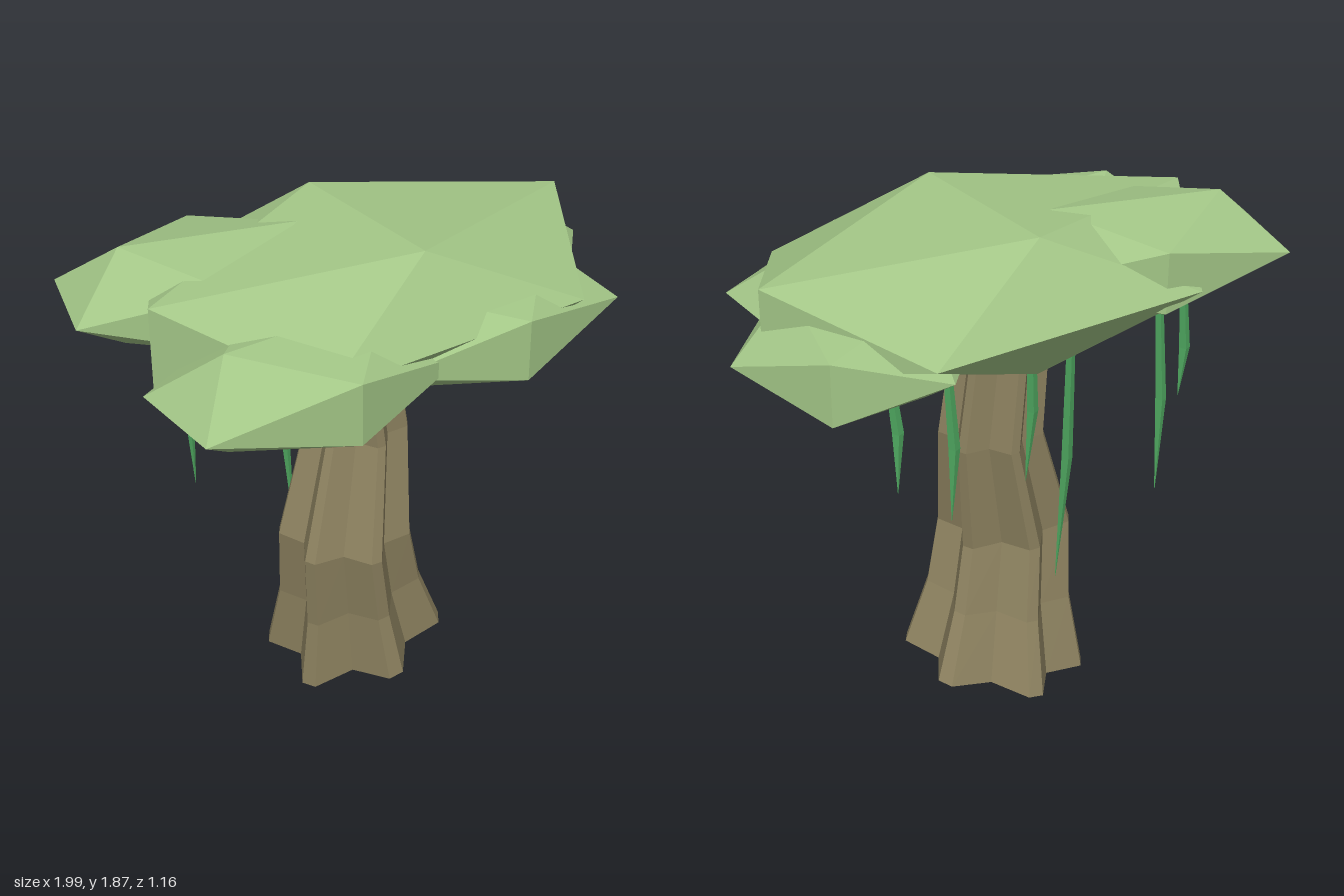
import * as THREE from 'three';

const material = (color) => new THREE.MeshStandardMaterial({ color, flatShading: true });

// Joins cross-sections listed from bottom to top, closing both ends.
function loft(rings) {
  const pos = [];
  const tri = (...pts) => pts.forEach((p) => pos.push(p.x, p.y, p.z));
  const middle = (ring) =>
    ring.reduce((s, p) => s.add(p), new THREE.Vector3()).divideScalar(ring.length);
  const n = rings[0].length;
  const top = rings[rings.length - 1];
  const c0 = middle(rings[0]);
  const c1 = middle(top);
  for (let i = 0; i < n; i++) {
    const j = (i + 1) % n;
    for (let k = 0; k < rings.length - 1; k++) {
      const lo = rings[k];
      const hi = rings[k + 1];
      tri(lo[i], hi[i], lo[j]);
      tri(lo[j], hi[i], hi[j]);
    }
    tri(c0, rings[0][i], rings[0][j]);
    tri(c1, top[j], top[i]);
  }
  const geometry = new THREE.BufferGeometry();
  geometry.setAttribute('position', new THREE.Float32BufferAttribute(pos, 3));
  geometry.computeVertexNormals();
  return geometry;
}

// Six-pointed star section with blunt tips; tilt raises it towards +x.
function starRing([x, y, z, r, tilt]) {
  const ring = [];
  for (let k = 0; k < 6; k++) {
    for (const [deg, scale] of [[-5, 1], [5, 1], [30, 0.7]]) {
      const a = THREE.MathUtils.degToRad(36 + 60 * k + deg);
      const dx = Math.cos(a) * r * scale;
      ring.push(new THREE.Vector3(x + dx, y + dx * tilt, z + Math.sin(a) * r * scale));
    }
  }
  return ring;
}

// Small four-sided section for the vines.
function vineRing(x, y, z, r) {
  return [0, 1, 2, 3].map((k) => {
    const a = (k * Math.PI) / 2 + 0.4;
    return new THREE.Vector3(x + Math.cos(a) * r, y, z + Math.sin(a) * r);
  });
}

export function createModel() {
  const model = new THREE.Group();
  model.name = 'tree';
  const leaf = material(0xa2c586);
  const bark = material(0x8c815f);
  const vineGreen = material(0x4fa860);

  const add = (name, geometry, mat) => {
    const mesh = new THREE.Mesh(geometry, mat);
    mesh.name = name;
    model.add(mesh);
    return mesh;
  };

  // Trunk: x, y, z, radius, tilt of each section
  const sections = [
    [0.02, 0.065, -0.115, 0.337, 0.18],
    [-0.02, 0.33, -0.085, 0.268, 0.14],
    [-0.065, 0.605, -0.05, 0.245, 0],
    [0.02, 1.025, -0.09, 0.188, 0],
    [-0.02, 1.41, -0.095, 0.17, 0],
  ];
  add('trunk', loft(sections.map(starRing)), bark);

  // Foliage: flattened icosahedra given by centre, half sizes and turn
  const clumps = [
    ['crown', [0.02, 1.63, -0.035], [0.545, 0.25, 0.85], Math.PI / 2],
    ['frontRightClump', [-0.43, 1.55, 0.27], [0.5, 0.18, 0.31], 0],
    ['frontLeftClump', [0.26, 1.55, 0.26], [0.5, 0.18, 0.31], 0],
    ['backRightClump', [-0.466, 1.68, -0.255], [0.5, 0.18, 0.31], -0.294],
    ['leftClump', [0.57, 1.55, -0.13], [0.365, 0.18, 0.37], -0.75],
  ];
  const reach = 0.8507; // half extent of a unit icosahedron
  for (const [name, centre, half, turn] of clumps) {
    const mesh = add(name, new THREE.IcosahedronGeometry(1, 0), leaf);
    mesh.position.set(...centre);
    mesh.scale.set(...half.map((h) => h / reach));
    mesh.rotation.y = turn;
  }

  // Hanging vines: x, top z, tip y, tip z
  const vines = [
    [-0.59, -0.39, 1.13, -0.4],
    [-0.49, -0.38, 0.78, -0.42],
    [-0.12, -0.37, 0.48, -0.325],
    [0.03, -0.35, 0.95, -0.34],
    [0.4, -0.41, 0.97, -0.44],
    [0.55, -0.29, 1.08, -0.345],
  ];
  const topY = 1.5;
  for (const [x, z, tipY, tipZ] of vines) {
    const at = (t, dx, r) =>
      vineRing(x + dx, THREE.MathUtils.lerp(topY, tipY, t), THREE.MathUtils.lerp(z, tipZ, t), r);
    add('vine', loft([at(1, 0.01, 0.001), at(0.5, -0.012, 0.02), at(0, 0, 0.015)]), vineGreen);
  }

  return model;
}
